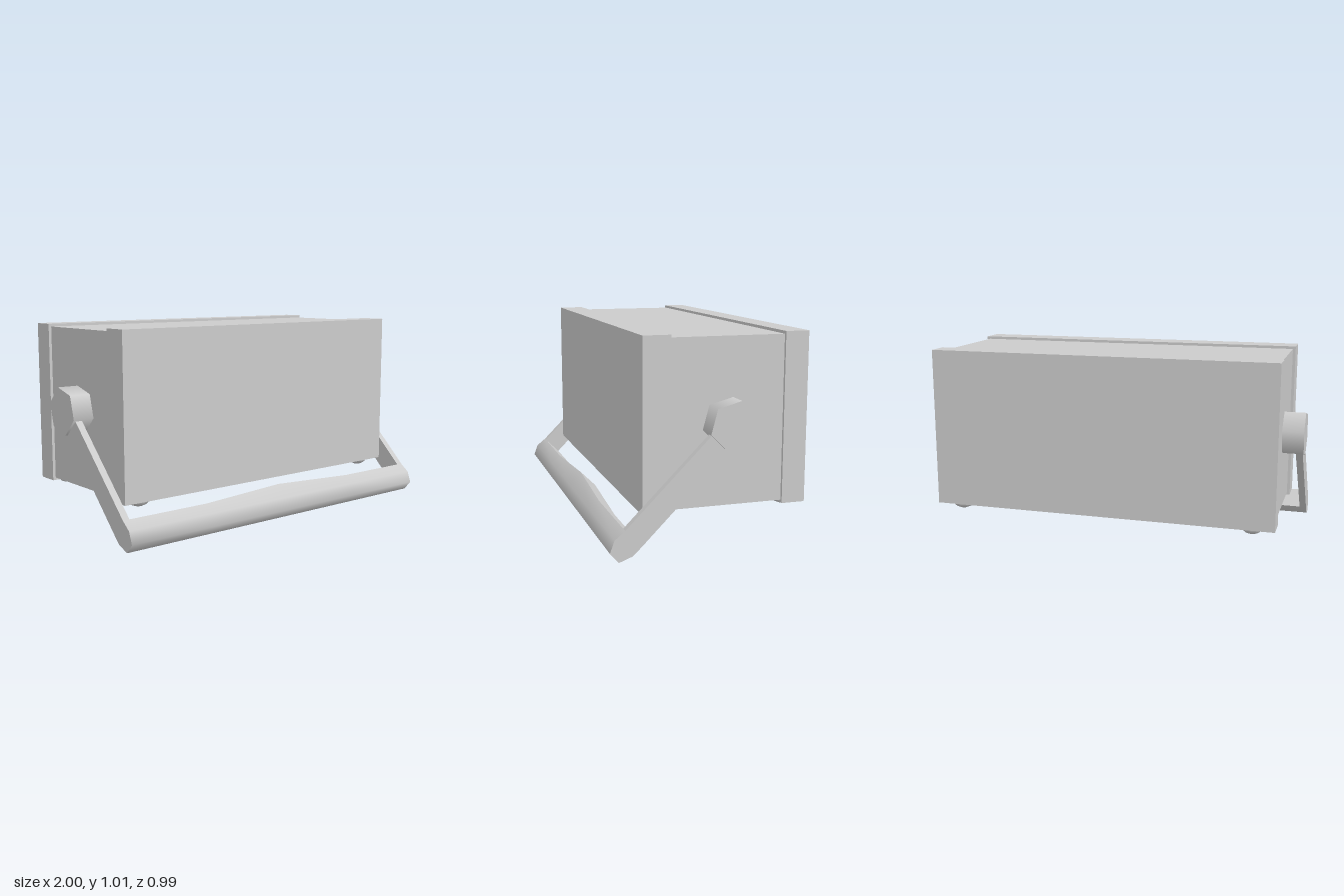
import * as THREE from 'three';
import { toCreasedNormals } from 'three/addons/utils/BufferGeometryUtils.js';

const grey = new THREE.MeshStandardMaterial({ color: 0xcccccc });

function add(parent, name, geometry, x = 0, y = 0, z = 0) {
  const mesh = new THREE.Mesh(geometry, grey);
  mesh.name = name;
  mesh.position.set(x, y, z);
  parent.add(mesh);
  return mesh;
}

// Grip bar: one cross-section lofted along x, its inner face swelling towards the middle
function gripGeometry() {
  const section = [[0.425, 0.15], [0.475, 0.11], [0.497, 0.05], [0.455, 0.003], [0.39, 0.027], [0.345, 0.07]]; // z, y
  const stations = [[-0.987, 0], [-0.5, 0], [0, 0.02], [0.5, 0], [0.987, 0]]; // x, swell
  const n = section.length, last = (stations.length - 1) * n;
  const positions = [], index = [];
  for (const [x, swell] of stations) {
    section.forEach(([z, y], i) => {
      const s = i === 0 || i === n - 1 ? swell : 0;
      positions.push(x, y + s, z - s);
    });
  }
  for (let j = 0; j < last; j += n) {
    for (let i = 0; i < n; i++) {
      const k = (i + 1) % n;
      index.push(j + i, j + k, j + n + k, j + i, j + n + k, j + n + i);
    }
  }
  for (let i = 1; i < n - 1; i++) {
    index.push(0, i + 1, i, last, last + i, last + i + 1);
  }
  const geometry = new THREE.BufferGeometry();
  geometry.setAttribute('position', new THREE.Float32BufferAttribute(positions, 3));
  geometry.setIndex(index);
  return toCreasedNormals(geometry, 1.22);
}

export function createModel() {
  const model = new THREE.Group();
  model.name = 'instrumentCase';

  // Case: body between two slightly larger end frames
  add(model, 'caseBody', new THREE.BoxGeometry(1.78, 0.803, 0.6), 0, 0.5985, -0.0975);
  add(model, 'frontFrame', new THREE.BoxGeometry(1.81, 0.83, 0.135), 0, 0.599, 0.2515);
  add(model, 'backFrame', new THREE.BoxGeometry(1.81, 0.83, 0.118), 0, 0.599, -0.438);

  // Four faceted feet: the lower half of a flattened ball
  const foot = new THREE.SphereGeometry(0.055, 8, 4, 0, Math.PI * 2, Math.PI / 2, Math.PI / 2);
  foot.scale(1, 0.62, 1);
  for (const x of [-0.785, 0.785]) {
    for (const z of [0.25, -0.435]) add(model, 'foot', foot, x, 0.185, z);
  }

  // Swivelling carry handle: hexagonal hubs, slanted arms and the grip
  const handle = new THREE.Group();
  handle.name = 'handle';
  model.add(handle);
  const hub = new THREE.CylinderGeometry(0.121, 0.121, 0.115, 6, 1, false, Math.PI / 4);
  hub.rotateZ(Math.PI / 2);
  const arm = new THREE.BoxGeometry(0.036, 0.113, 0.59);
  arm.rotateX(Math.PI / 4);
  for (const side of [-1, 1]) {
    add(handle, 'handleHub', hub, side * 0.9425, 0.597, -0.0925);
    add(handle, 'handleArm', arm, side * 0.969, 0.3186, 0.1764);
  }
  add(handle, 'handleGrip', gripGeometry());

  return model;
}
